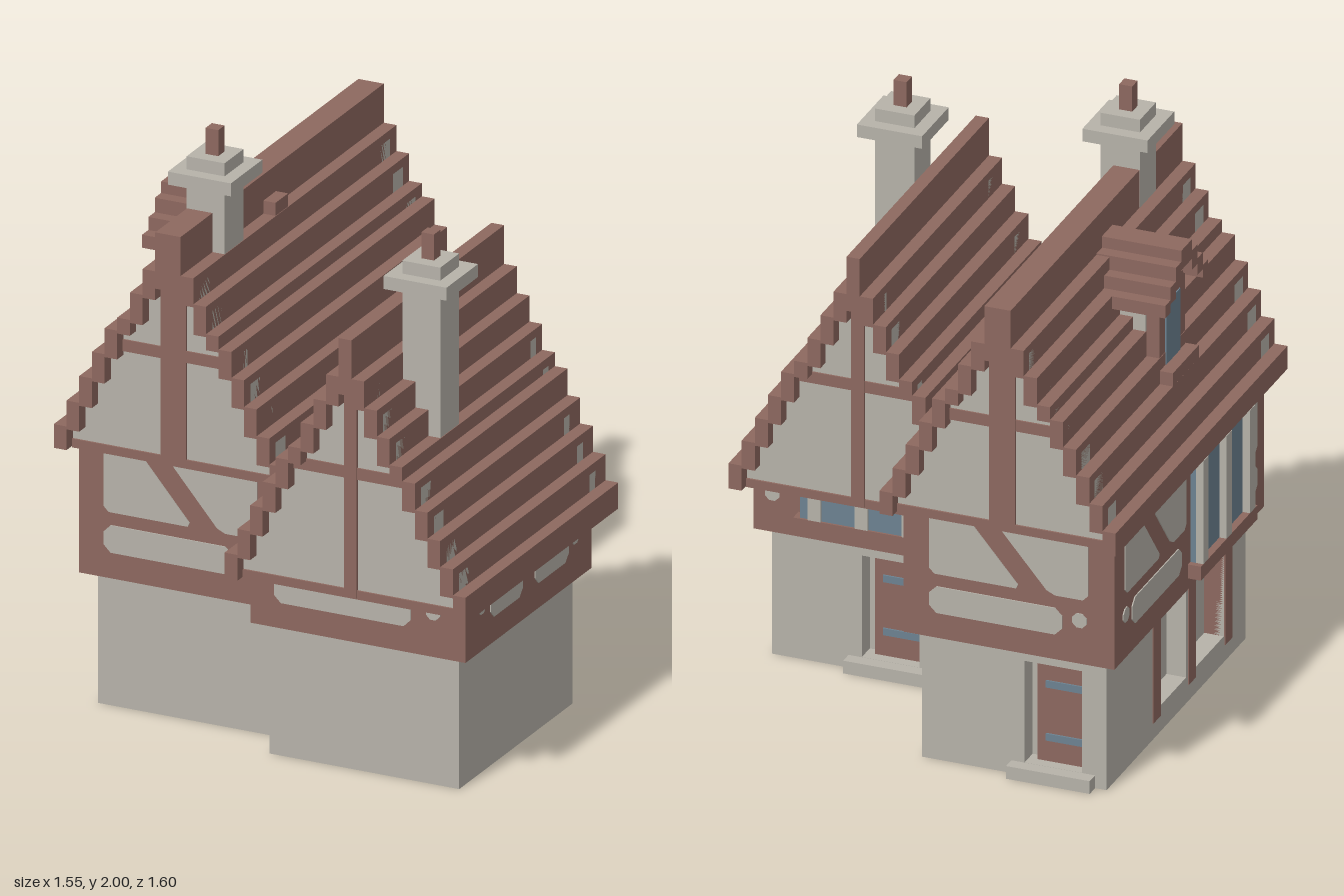
import * as THREE from 'three';

const mat = (name, color) => {
  const m = new THREE.MeshStandardMaterial({ color, side: THREE.DoubleSide });
  m.name = name;
  return m;
};

export function createModel() {
  const timber = mat('timber', 0x8d685f), plaster = mat('plaster', 0xb6b2a9), glass = mat('glass', 0x6c8291);
  const model = new THREE.Group();
  model.name = 'timberHouse';
  const V = 1 / 22; // building grid

  // box given by its limits
  const box = (p, name, m, x0, x1, y0, y1, z0, z1) => {
    const o = new THREE.Mesh(new THREE.BoxGeometry(x1 - x0, y1 - y0, z1 - z0), m);
    o.position.set((x0 + x1) / 2, (y0 + y1) / 2, (z0 + z1) / 2);
    o.name = name;
    p.add(o);
    return o;
  };
  // group whose local +z looks out of a wall
  const face = (name, x, z, rot) => {
    const g = new THREE.Group();
    g.name = name;
    g.position.set(x, 0, z);
    g.rotation.y = rot;
    model.add(g);
    return g;
  };
  const shapeOf = pts => new THREE.Shape(pts.map(p => new THREE.Vector2(p[0], p[1])));
  // thin plaster panel with clipped corners
  const panel = (p, pts, c = 0.018) => {
    const out = [];
    pts.forEach((a, i) => {
      const A = new THREE.Vector2(...a);
      for (const b of [pts[(i + pts.length - 1) % pts.length], pts[(i + 1) % pts.length]]) {
        const d = new THREE.Vector2(...b).sub(A);
        const q = A.clone().addScaledVector(d.normalize(), c);
        out.push([q.x, q.y]);
      }
    });
    const o = new THREE.Mesh(new THREE.ExtrudeGeometry(shapeOf(out), { depth: 0.004, bevelEnabled: false }), plaster);
    o.name = 'plasterPanel';
    p.add(o);
  };
  const rect = (p, u0, u1, v0, v1, c) => panel(p, [[u0, v0], [u1, v0], [u1, v1], [u0, v1]], c);
  const dot = (p, u, v) => panel(p, [[u - 0.025, v - 0.025], [u + 0.025, v - 0.025], [u + 0.025, v + 0.025], [u - 0.025, v + 0.025]], 0.015);
  // panels either side of a diagonal brace
  const braced = (p, u0, u1) => {
    const w = u1 - u0, f = t => u0 + w * t;
    panel(p, [[u0, 0.69], [f(0.58), 0.69], [f(0.24), 0.91], [u0, 0.91]]);
    panel(p, [[f(0.76), 0.69], [u1, 0.69], [u1, 0.91], [f(0.42), 0.91]]);
  };
  const band = (p, u0, u1) => rect(p, u0, u1, 0.55, 0.645, 0.025);

  // open-bottomed ground floor; holes are [u0,u1,v0,v1] in wall coordinates
  const wall = (p, u0, u1, holes = []) => {
    const s = shapeOf([[u0, 0], [u1, 0], [u1, 0.462], [u0, 0.462]]);
    holes.forEach(([a, b, c, d]) => s.holes.push(new THREE.Path([[a, c], [a, d], [b, d], [b, c]].map(q => new THREE.Vector2(...q)))));
    const o = new THREE.Mesh(new THREE.ShapeGeometry(s), plaster);
    o.name = 'groundFloorWall';
    p.add(o);
    holes.forEach(([a, b, c, d]) => {
      const t = 0.01, z = -0.07;
      box(p, 'recessBack', plaster, a, b, c, d, z - t, z);
      box(p, 'recessJamb', plaster, a - t, a, c, d, z, -0.002);
      box(p, 'recessJamb', plaster, b, b + t, c, d, z, -0.002);
      box(p, 'recessSill', plaster, a, b, c - t, c, z, -0.002);
      box(p, 'recessHead', plaster, a, b, d, d + t, z, -0.002);
    });
  };
  const ground = (x0, x1, z0, z1, backHoles, leftHoles) => {
    wall(face('frontWall', 0, z1, 0), x0, x1);
    wall(face('sideWall', x1, 0, Math.PI / 2), -z1, -z0);
    const back = face('backWall', 0, z0, Math.PI), side = face('sideWall', x0, 0, -Math.PI / 2);
    wall(back, -x1, -x0, backHoles);
    wall(side, z0, z1, leftHoles);
    box(model, 'ceiling', plaster, x0, x1, 0.452, 0.46, z0, z1);
    return { back, side };
  };
  const door = (p, u0, u1) => {
    box(p, 'door', timber, u0 + 0.03, u1, 0.045, 0.4, -0.07, -0.04);
    for (const y of [0.12, 0.31]) box(p, 'hinge', glass, u0 + 0.06, u1 - 0.01, y, y + 0.025, -0.04, -0.034);
    box(p, 'doorStep', plaster, u0 - 0.045, u1 + 0.045, 0, V, 0, V);
  };

  const A = { x: -0.364, half: V, end: [-0.8, 0.66], base: 0.918, ridge: 1.73, tops: [1.595, 1.505, 1.41, 1.365, 1.275, 1.183, 1.09, 1.0], beam: 1.28 };
  const B = { x: 0.341, half: V / 2, end: [-0.297, 0.8], base: 0.64, ridge: 1.547, tops: [1.413, 1.32, 1.23, 1.14, 1.092, 1.0, 0.91, 0.82, 0.73], beam: 1.05 };

  // stepped roof with timbered gables
  for (const r of [A, B]) {
    const n = r.tops.length, [z0, z1] = r.end, inner = [], right = [];
    box(model, 'roofRidge', timber, r.x - r.half, r.x + r.half, r.tops[0] - 0.06, r.ridge, z0, z1);
    r.tops.forEach((t, i) => {
      const a = r.half + i * V, low = i === n - 1 ? r.base : r.tops[i + 1] - 0.01;
      box(model, 'roofStep', timber, r.x + a, r.x + a + V, low, t, z0, z1);
      box(model, 'roofStep', timber, r.x - a - V, r.x - a, low, t, z0, z1);
      if (i < n - 1) right.push([a + V, t - 0.03]), inner.push(a);
    });
    const pts = [[right[n - 2][0], r.base]];
    for (let i = n - 2; i >= 0; i--) pts.push(right[i], [inner[i], right[i][1]]);
    const outline = [...pts, ...pts.slice().reverse().map(([x, y]) => [-x, y])];
    for (const [z, rot] of [[z1 - V, 0], [z0 + V, Math.PI]]) {
      const g = face('gable', r.x, z, rot);
      const o = new THREE.Mesh(new THREE.ExtrudeGeometry(shapeOf(outline), { depth: 0.07, bevelEnabled: false }), plaster);
      o.position.z = -0.07;
      o.name = 'gablePlaster';
      g.add(o);
      const w = right[n - 2][0], reach = right.filter(q => q[1] > r.beam + 0.05).pop()[0];
      box(g, 'gablePost', timber, -r.half, r.half, r.base, r.tops[0] - 0.02, 0, 0.008);
      box(g, 'gableBeam', timber, -reach, reach, r.beam, r.beam + 0.04, 0, 0.006);
      box(g, 'gableSill', timber, -w, w, r.base - 0.004, r.base + 0.026, -0.072, 0.007);
    }
  }

  // tall wing: ground floor with niches and door
  const ga = ground(-0.685, -0.045, -0.66, 0.52, [[0.4, 0.6, 0.045, 0.41]], [[-0.23, 0.02, 0.09, 0.42], [0.1, 0.34, 0.09, 0.42]]);
  door(ga.back, 0.4, 0.6);
  for (const z of [-0.27, 0.03, 0.34]) box(ga.side, 'nichePost', timber, z, z + 0.06, 0.06, 0.46, -0.08, 0.004);
  box(model, 'upperStorey', timber, -0.73, 0, 0.46, 0.98, -0.705, 0.565);
  // low wing
  const gb = ground(0, 0.68, -0.155, 0.66, [[-0.37, -0.17, 0.045, 0.41]], []);
  door(gb.back, -0.37, -0.17);
  box(model, 'upperStorey', timber, -0.045, 0.725, 0.461, 0.7, -0.2, 0.705);

  // plaster panels of the upper storeys
  const aFront = face('upperFront', 0, 0.565, 0);
  braced(aFront, -0.64, -0.09); band(aFront, -0.64, -0.18); dot(aFront, -0.12, 0.615);
  const aBack = face('upperBack', 0, -0.705, Math.PI);
  braced(aBack, 0.09, 0.64); band(aBack, 0.09, 0.55); dot(aBack, 0.61, 0.615);
  const aRight = face('upperSide', 0, 0, Math.PI / 2);
  braced(aRight, 0.1, 0.615); band(aRight, 0.25, 0.53); dot(aRight, 0.59, 0.615);
  const aLeft = face('upperSide', -0.73, 0, -Math.PI / 2);
  braced(aLeft, -0.62, -0.1); band(aLeft, -0.56, -0.14); dot(aLeft, -0.61, 0.615);
  rect(aLeft, 0.43, 0.5, 0.69, 0.91); rect(aLeft, 0.43, 0.5, 0.55, 0.645);
  const bFront = face('upperFront', 0, 0.705, 0);
  band(bFront, 0.04, 0.53); dot(bFront, 0.61, 0.615);
  const bRight = face('upperSide', 0.725, 0, Math.PI / 2);
  band(bRight, -0.53, -0.3); band(bRight, -0.21, 0.03); dot(bRight, -0.59, 0.615); dot(bRight, 0.08, 0.615);
  const bBack = face('upperBack', 0, -0.2, Math.PI);
  dot(bBack, -0.66, 0.6);

  // projecting windows
  const bay = (p, u0, u1, top, ends) => {
    box(p, 'windowSill', timber, u0 - 0.02, u1 + 0.02, 0.5, 0.55, 0, V);
    box(p, 'windowGlass', glass, u0, u1, 0.55, top, 0, ends ? 0.02 : 0.038);
    const w = (u1 - u0) / 2 - 0.022;
    for (let i = 0; i < 3; i++) {
      const u = u0 + i * w, s = ends ? 0 : (1 - i) * 0.03;
      box(p, 'windowPost', plaster, u + s, u + s + 0.045, 0.55, top, 0, V);
    }
  };
  bay(aLeft, -0.06, 0.38, 0.918, true);
  bay(bBack, -0.55, -0.12, 0.64, false);

  // dormer on the left slope
  const dz = 0.02;
  box(model, 'dormerBody', timber, -0.635, -0.42, 1.1, 1.5, dz - 0.11, dz + 0.11);
  box(model, 'dormerGable', timber, -0.635, -0.42, 1.5, 1.58, dz - 0.06, dz + 0.06);
  for (const s of [-1, 1]) {
    const z = dz + s * 0.112;
    box(model, 'dormerPlaster', plaster, -0.59, -0.45, 1.2, 1.45, z - 0.003, z + 0.003);
  }
  box(model, 'dormerGlass', glass, -0.639, -0.634, 1.23, 1.45, dz - 0.06, dz + 0.06);
  box(model, 'dormerSill', timber, -0.682, -0.63, 1.183, 1.23, dz - 0.11, dz + 0.11);
  box(model, 'dormerRidge', timber, -0.685, -0.275, 1.57, 1.64, dz - V, dz + V);
  [[1.6, 1.53, -0.41], [1.55, 1.49, -0.455], [1.505, 1.46, -0.455]].forEach(([t, b, x], i) => {
    for (const s of [-1, 1]) {
      const a = dz + s * (i + 1) * V, c = dz + s * (i + 2) * V;
      box(model, 'dormerRoofStep', timber, -0.685, x, b, t, Math.min(a, c), Math.max(a, c));
    }
  });

  // chimneys
  for (const [x, z, low, top] of [[-0.343, 0.363, 1.3, 1.91], [0.475, 0.453, 0.85, 1.73]]) {
    const part = (name, m, h, y0, y1) => box(model, name, m, x - h, x + h, y0, y1, z - h, z + h);
    part('chimneyShaft', plaster, 0.068, low, top);
    part('chimneyCap', plaster, 0.113, top - 0.09, top - 0.045);
    part('chimneyPot', timber, 0.0227, top, top + 0.09);
  }
  return model;
}
